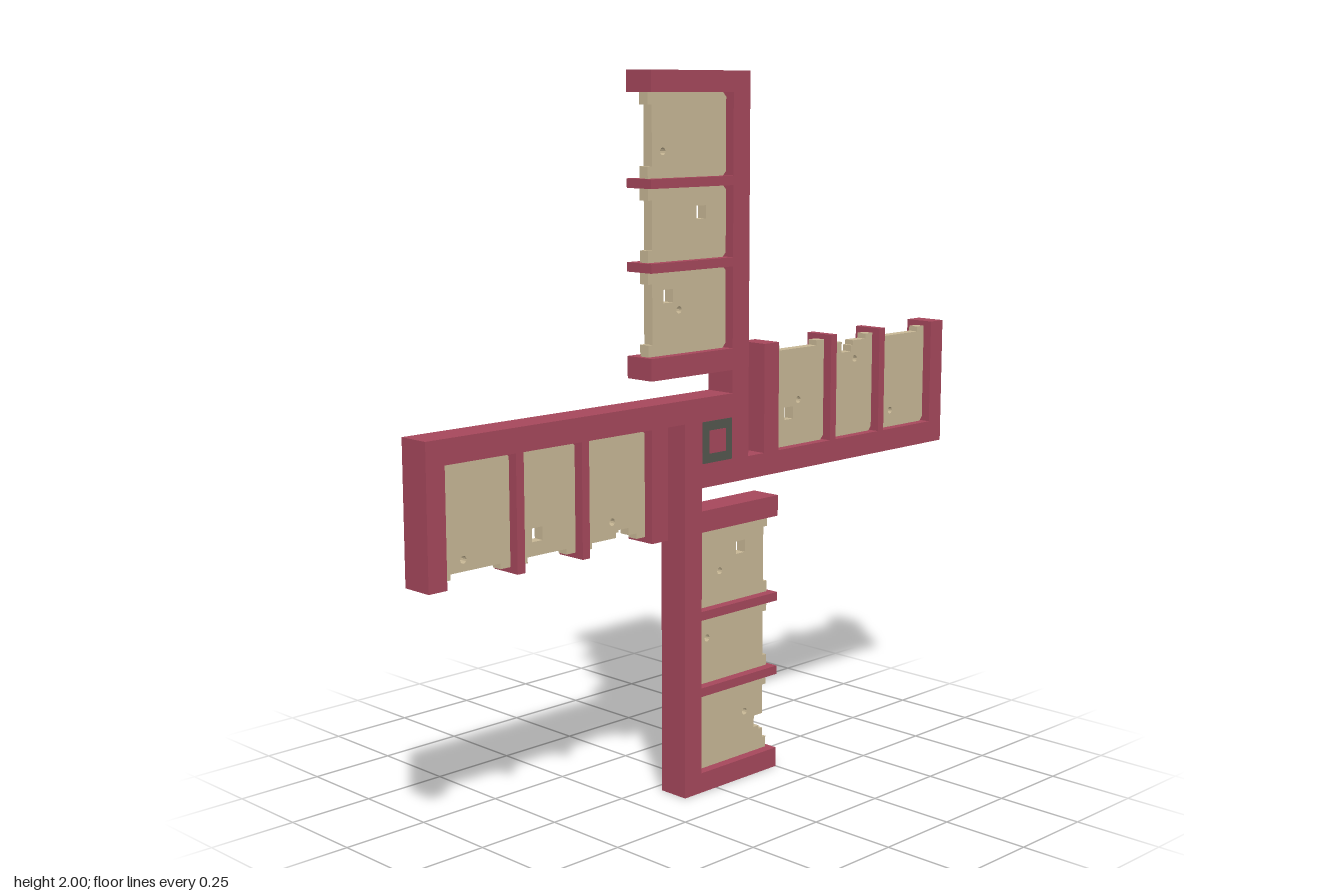
import * as THREE from 'three';

const mat = (name, color) => {
  const m = new THREE.MeshStandardMaterial({ color });
  m.name = name;
  return m;
};

const Z0 = 0.033, Z1 = 0.125; // back and front of the timber frame
const OUT = -0.25, IN = 0.06, SPAR = 0.125; // bar tips, inner and outer spar edges
const BARS = [[0.19, 0.25], [0.475, 0.5], [0.695, 0.72], [0.943, 1]];

// Four sails: clockwise quarter turns, each with its own holes and torn notch
const SAILS = [
  { name: 'upperSail', turn: 0, squares: [[-0.035, 0.625], [-0.16, 0.408]],
    circles: [[-0.18, 0.79], [-0.12, 0.368]] },
  { name: 'leftSail', turn: 1, squares: [[-0.035, 0.325], ],
    circles: [[-0.07, 0.365], [-0.165, 0.615], [0.01, 0.785]], notch: [0.555, 0.597, -0.188] },
  { name: 'lowerSail', turn: 2, squares: [[-0.125, 0.325]],
    circles: [[-0.04, 0.38], [0.01, 0.565], [-0.145, 0.815]], notch: [0.838, 0.872, -0.185] },
  { name: 'rightSail', turn: 3, squares: [[-0.165, 0.63]],
    circles: [[-0.175, 0.37], [-0.19, 0.87]], notch: [0.31, 0.347, -0.2] },
];

const polygon = (pts) => new THREE.Shape(pts.map(([x, y]) => new THREE.Vector2(x, y)));

function extrude(shape, z0, z1) {
  const g = new THREE.ExtrudeGeometry(shape, { depth: z1 - z0, bevelEnabled: false, curveSegments: 6 });
  return g.translate(0, 0, z0);
}

// Comb outline: a spar with cross bars on one side
function frameGeometry() {
  const pts = [[SPAR, 0.125], [SPAR, 1]];
  for (const [a, b] of [...BARS].reverse()) {
    if (b < 1) pts.push([IN, b]);
    pts.push([OUT, b], [OUT, a], [IN, a]);
  }
  pts.push([IN, 0.125]);
  return extrude(polygon(pts), Z0, Z1);
}

// One cloth panel between two bars, with ears at the torn edge
function clothGeometry(y0, y1, { squares, circles, notch }) {
  const edge = -0.22, ear = -0.235, c = 0.012, inside = (y) => y > y0 && y < y1;
  const pts = [[IN - c, y0], [IN, y0 + c], [IN, y1 - c], [IN - c, y1],
    [ear, y1], [ear, y1 - 0.032], [edge, y1 - 0.032]];
  if (notch && inside(notch[0])) {
    const [a, b, x] = notch;
    pts.push([edge, b + 0.01], [edge + 0.014, b + 0.01], [edge + 0.014, b], [x, b], [x, a], [edge, a]);
  }
  pts.push([edge, y0 + 0.032], [ear, y0 + 0.032], [ear, y0]);
  const shape = polygon(pts), s = 0.018;
  for (const [x, y] of squares.filter((p) => inside(p[1]))) {
    shape.holes.push(polygon([[x - s, y - s], [x - s, y + s], [x + s, y + s], [x + s, y - s]]));
  }
  for (const [x, y] of circles.filter((p) => inside(p[1]))) {
    shape.holes.push(new THREE.Path().absarc(x, y, 0.01, 0, Math.PI * 2, true));
  }
  return extrude(shape, 0.066, 0.097);
}

export function createModel() {
  const wood = mat('red wood', 0xa5475b);
  const cloth = mat('sail cloth', 0xc6b694);
  const iron = mat('dark iron', 0x52564e);
  const model = new THREE.Group();
  model.name = 'windmillSails';

  const add = (parent, name, geometry, material) => {
    const m = new THREE.Mesh(geometry, material);
    m.name = name;
    parent.add(m);
  };
  const block = (name, half, z0, z1, material) =>
    add(model, name, new THREE.BoxGeometry(half * 2, half * 2, z1 - z0).translate(0, 1, (z0 + z1) / 2), material);

  // Hub, axle and collar
  block('hub', 0.125, Z0, Z1, wood);
  block('rearCollar', 0.06, 0, Z0, iron);
  block('axle', 0.031, -0.125, 0, wood);
  block('frontCollar', 0.058, Z1, Z1 + 0.001, iron);
  block('axleEnd', 0.032, Z1 + 0.001, Z1 + 0.002, wood);

  // Sails
  const frame = frameGeometry();
  for (const sail of SAILS) {
    const arm = new THREE.Group();
    arm.name = sail.name;
    arm.position.y = 1;
    arm.rotation.z = -sail.turn * Math.PI / 2;
    add(arm, 'sailFrame', frame, wood);
    for (let i = 0; i < 3; i++) {
      add(arm, 'clothPanel' + (i + 1), clothGeometry(BARS[i][1], BARS[i + 1][0], sail), cloth);
    }
    model.add(arm);
  }
  return model;
}
